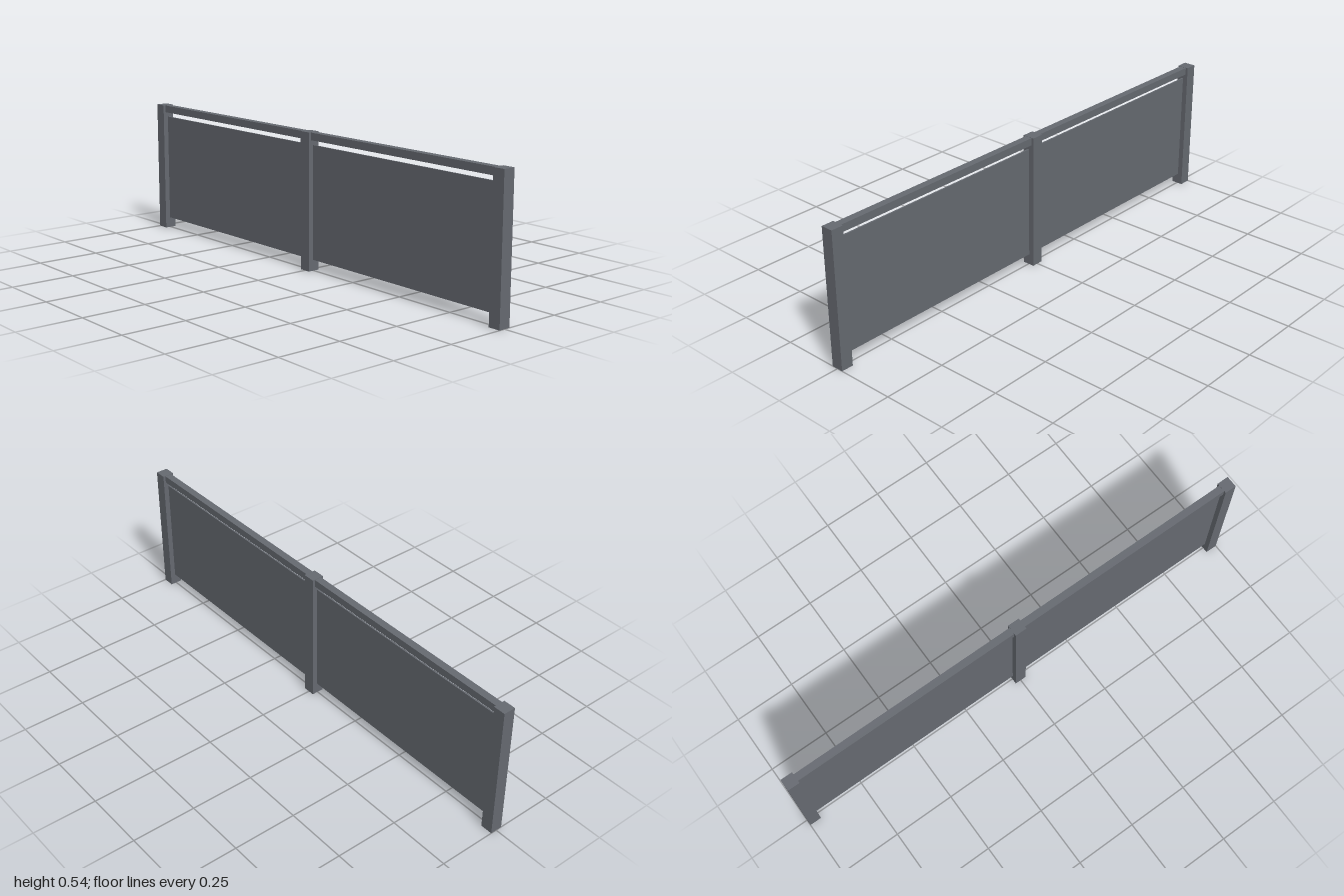
import * as THREE from 'three';

const HEIGHT = 0.538;
const POST = 0.048;

export function createModel() {
  const model = new THREE.Group();
  model.name = 'railing';
  const metal = new THREE.MeshStandardMaterial({ color: 0x666a71 });
  metal.name = 'grey metal';

  // Adds a box given its centre x, vertical extent, width and depth
  function addBox(name, x, bottom, top, width, depth) {
    const mesh = new THREE.Mesh(new THREE.BoxGeometry(width, top - bottom, depth), metal);
    mesh.name = name;
    mesh.position.set(x, (bottom + top) / 2, 0);
    model.add(mesh);
  }

  // Three square posts
  const end = 1 - POST / 2;
  addBox('rightPost', -end, 0, HEIGHT, POST, POST);
  addBox('middlePost', 0, 0, HEIGHT, POST, POST);
  addBox('leftPost', end, 0, HEIGHT, POST, POST);

  // A top rail and a thin infill panel in each bay
  const bay = end - POST;
  for (const [side, sign] of [['right', -1], ['left', 1]]) {
    const x = sign * end / 2;
    addBox(side + 'TopRail', x, 0.508, HEIGHT - 0.001, bay, 0.029);
    addBox(side + 'Panel', x, 0.043, 0.488, bay, 0.006);
  }
  return model;
}
